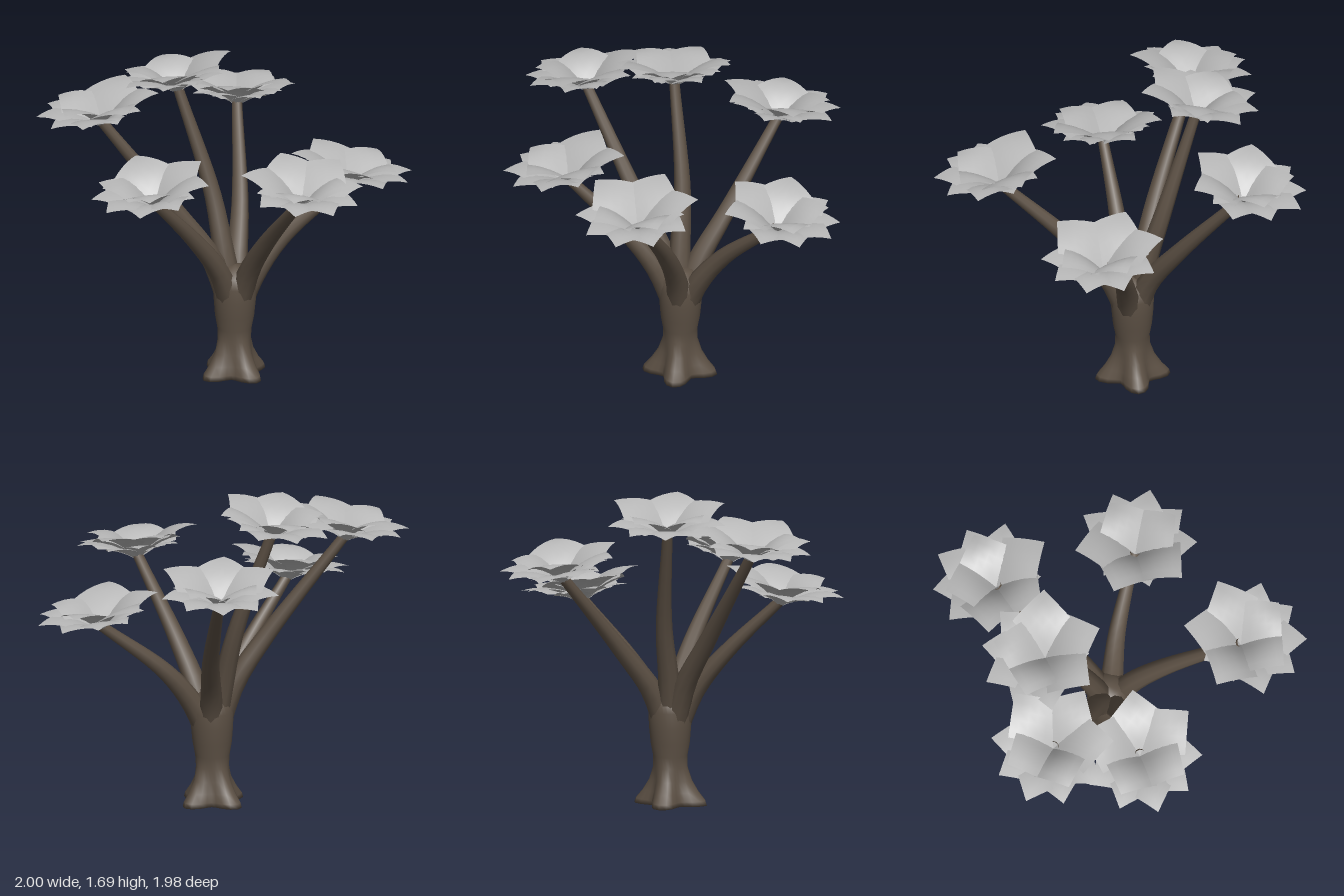
import * as THREE from 'three';
import { mergeGeometries, mergeVertices } from 'three/addons/utils/BufferGeometryUtils.js';

// Path of each branch from inside the trunk to its tip
const BRANCHES = [
  { name: 'back', path: [[0.06, 0.36, 0.01], [0.07, 0.6, -0.08], [0.1, 0.85, -0.27], [0.11, 1.28, -0.65]] },
  { name: 'tall', path: [[0.05, 0.36, 0.01], [0.0, 0.65, -0.03], [-0.06, 0.98, -0.11], [-0.23, 1.52, -0.22]] },
  { name: 'right', path: [[0.04, 0.36, 0.02], [-0.07, 0.65, 0.02], [-0.24, 0.9, 0.03], [-0.65, 1.43, 0.01]] },
  { name: 'frontRight', path: [[0.045, 0.36, 0.03], [-0.04, 0.61, 0.11], [-0.18, 0.83, 0.22], [-0.4, 1.11, 0.4]] },
  { name: 'front', path: [[0.06, 0.36, 0.03], [0.12, 0.6, 0.12], [0.2, 0.82, 0.28], [0.36, 1.19, 0.65]] },
  { name: 'left', path: [[0.065, 0.36, 0.02], [0.16, 0.55, 0.0], [0.31, 0.74, -0.04], [0.66, 1.02, -0.09]] },
];

// Leaves of a rosette, in degrees from its outward side: [angle, length, half width, height]
const LEAVES = [
  // low outer fan
  [0, 0.335, 0.145, 0.13], [35, 0.325, 0.14, 0.12], [-36, 0.325, 0.14, 0.125],
  [72, 0.325, 0.14, 0.13], [-73, 0.325, 0.14, 0.12],
  // short leaves under the inner side
  [110, 0.25, 0.11, 0.1], [150, 0.25, 0.11, 0.11], [-150, 0.25, 0.11, 0.1], [-105, 0.25, 0.11, 0.11],
  // broad high leaves
  [115, 0.33, 0.165, 0.17], [172, 0.33, 0.17, 0.165], [-120, 0.33, 0.165, 0.175],
  [45, 0.26, 0.15, 0.175], [-40, 0.26, 0.15, 0.17],
];

// Trunk: lathe with four flared roots at the foot
function trunkGeometry() {
  const profile = [[0, 0], [0.155, 0], [0.152, 0.025], [0.128, 0.07], [0.104, 0.13], [0.09, 0.2], [0.091, 0.26],
    [0.104, 0.33], [0.112, 0.42], [0.115, 0.5], [0.105, 0.56], [0.06, 0.6], [0, 0.61]].map(p => new THREE.Vector2(...p));
  const geo = new THREE.LatheGeometry(profile, 32);
  const pos = geo.attributes.position;
  for (let i = 0; i < pos.count; i++) {
    const x = pos.getX(i), y = pos.getY(i), z = pos.getZ(i);
    const flare = Math.max(0, 1 - y / 0.22);
    const k = 1 + 0.3 * flare * Math.cos(4 * (Math.atan2(z, x) - 0.96));
    pos.setXYZ(i, x * k + 0.048 + 0.012 * y, y, z * k + 0.02);
  }
  geo.deleteAttribute('uv');
  geo.deleteAttribute('normal');
  const merged = mergeVertices(geo, 1e-4);
  merged.computeVertexNormals();
  return merged;
}

// Branch: tube that narrows towards its tip
function branchGeometry(points) {
  const curve = new THREE.CatmullRomCurve3(points.map(p => new THREE.Vector3(...p)));
  const segments = 14, sides = 9;
  const geo = new THREE.TubeGeometry(curve, segments, 1, sides);
  const pos = geo.attributes.position, v = new THREE.Vector3();
  for (let i = 0; i < pos.count; i++) {
    const t = Math.floor(i / (sides + 1)) / segments;
    const centre = curve.getPointAt(t);
    const radius = 0.028 + 0.042 * Math.pow(1 - t, 1.2);
    v.fromBufferAttribute(pos, i).sub(centre).multiplyScalar(radius).add(centre);
    pos.setXYZ(i, v.x, v.y, v.z);
  }
  return geo;
}

// Leaf: square card standing on one corner, rising steeply and then levelling out
function leafGeometry(length, halfWidth, height) {
  const geo = new THREE.PlaneGeometry(1, 1, 5, 5);
  const pos = geo.attributes.position;
  for (let i = 0; i < pos.count; i++) {
    const a = (pos.getX(i) + pos.getY(i) + 1) / 2;
    const side = pos.getX(i) - pos.getY(i);
    const rise = height * (1 - Math.pow(1 - a, 2.6)) - 0.015 * Math.pow(a, 4);
    pos.setXYZ(i, side * halfWidth, rise - 0.015 * side * side, length * a);
  }
  geo.computeVertexNormals();
  return geo;
}

function rosetteGeometry() {
  return mergeGeometries(LEAVES.map(([angle, length, halfWidth, height]) =>
    leafGeometry(length, halfWidth, height).rotateY(THREE.MathUtils.degToRad(angle))));
}

export function createModel() {
  const bark = new THREE.MeshStandardMaterial({ color: 0x5c5044 });
  bark.name = 'bark';
  const foliage = new THREE.MeshStandardMaterial({ color: 0xb8b8b8, side: THREE.DoubleSide });
  foliage.name = 'foliage';

  const tree = new THREE.Group();
  tree.name = 'tree';
  const add = (geometry, material, name) => {
    const mesh = new THREE.Mesh(geometry, material);
    mesh.name = name;
    tree.add(mesh);
    return mesh;
  };

  add(trunkGeometry(), bark, 'trunk');
  const rosette = rosetteGeometry();
  const up = new THREE.Vector3(0, 1, 0);
  for (const { name, path } of BRANCHES) {
    add(branchGeometry(path), bark, name + 'Branch');
    // Each rosette faces and leans away from the trunk
    const [x, y, z] = path[path.length - 1];
    const outward = new THREE.Vector3(x - 0.06, 0, z - 0.02).normalize();
    const leaves = add(rosette, foliage, name + 'Rosette');
    leaves.position.set(x, y - 0.03, z);
    leaves.quaternion.setFromUnitVectors(up, outward.clone().multiplyScalar(0.16).add(up).normalize());
    leaves.rotateY(Math.atan2(outward.x, outward.z));
  }
  return tree;
}
